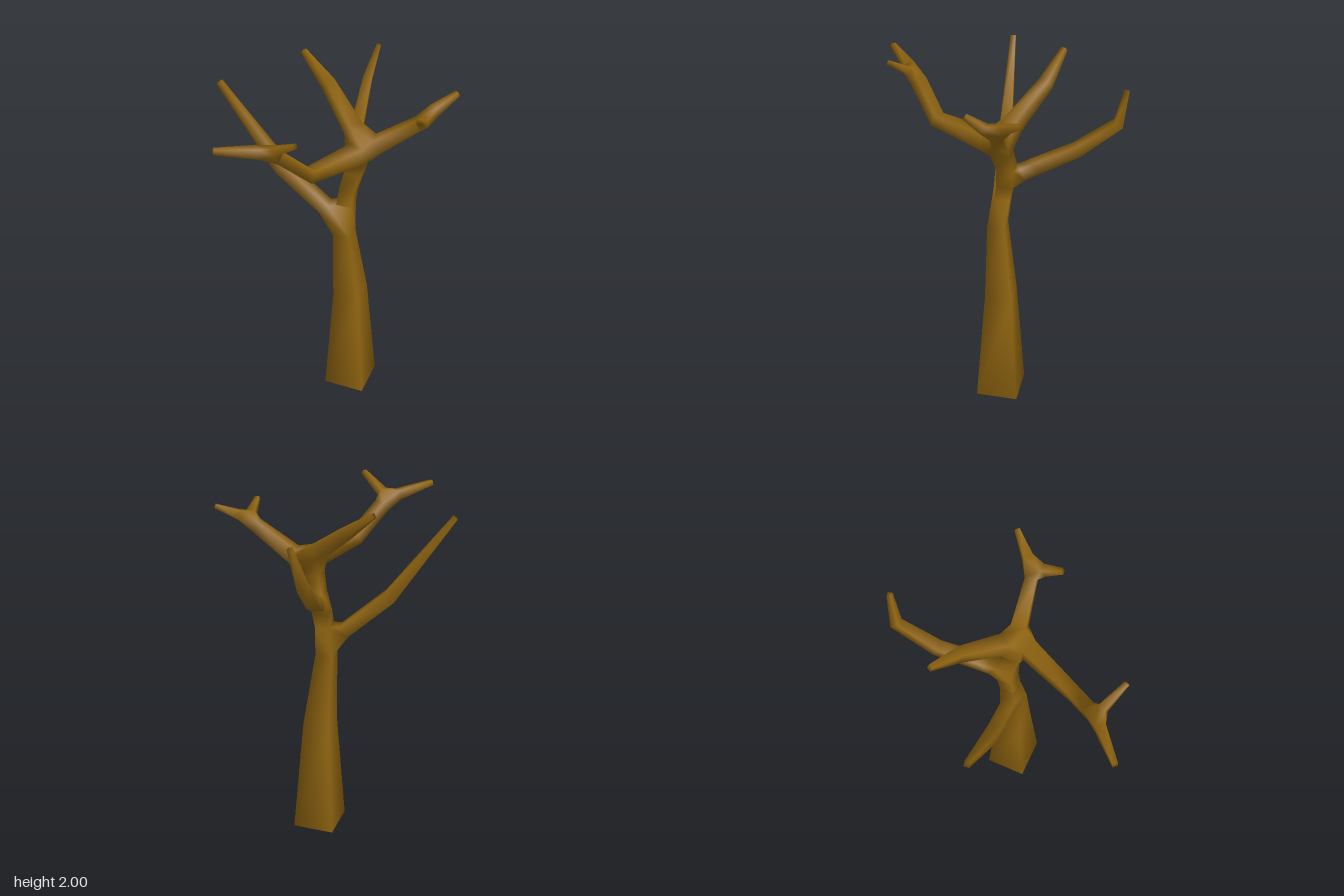
import * as THREE from 'three';
import { ConvexGeometry } from 'three/addons/geometries/ConvexGeometry.js';

const V = (x, y, z) => new THREE.Vector3(x, y, z);
const UP = V(0, 1, 0);
const key = (p) => `${Math.round(p.x * 1e4)},${Math.round(p.y * 1e4)},${Math.round(p.z * 1e4)}`;

// Square cross-sections along a path of [x, y, z, half width]
function makeRings(path, upright = false) {
  const pts = path.map(([x, y, z]) => V(x, y, z));
  let side = null;
  return path.map((p, i) => {
    const dir = V(0, 0, 0);
    if (upright) dir.copy(UP);
    else {
      if (i > 0) dir.add(pts[i].clone().sub(pts[i - 1]).normalize());
      if (i < pts.length - 1) dir.add(pts[i + 1].clone().sub(pts[i]).normalize());
      dir.normalize();
    }
    if (!side) side = upright ? V(1, 0, 0) : UP.clone().cross(dir).normalize();
    side = side.clone().addScaledVector(dir, -side.dot(dir)).normalize();
    const top = dir.clone().cross(side);
    return [[1, 1], [-1, 1], [-1, -1], [1, -1]].map(([a, b]) =>
      pts[i].clone().addScaledVector(side, a * p[3]).addScaledVector(top, b * p[3]));
  });
}

// Triangles of a limb lofted through its rings
function loft(rings, capStart, capEnd) {
  const tris = [];
  for (let k = 0; k < rings.length - 1; k++) {
    const [lo, hi] = [rings[k], rings[k + 1]];
    for (let i = 0; i < 4; i++) {
      const j = (i + 1) % 4;
      tris.push(lo[i], lo[j], hi[j], lo[i], hi[j], hi[i]);
    }
  }
  const s = rings[0], e = rings[rings.length - 1];
  if (capStart) tris.push(s[0], s[2], s[1], s[0], s[3], s[2]);
  if (capEnd) tris.push(e[0], e[1], e[2], e[0], e[2], e[3]);
  return tris;
}

// Joint: hull around the limb ends that meet, left open where each limb continues
function joint(rings) {
  const owner = new Map();
  rings.forEach((r, i) => r.forEach((p) => owner.set(key(p), i)));
  const pos = new ConvexGeometry(rings.flat()).attributes.position;
  const tris = [];
  for (let i = 0; i < pos.count; i += 3) {
    const t = [0, 1, 2].map((k) => V(0, 0, 0).fromBufferAttribute(pos, i + k));
    const o = t.map((p) => owner.get(key(p)));
    if (o[0] !== o[1] || o[1] !== o[2]) tris.push(...t);
  }
  return tris;
}

export function createModel() {
  const tree = new THREE.Group();
  tree.name = 'bareTree';
  const bark = new THREE.MeshStandardMaterial({ color: 0x8f6410 });

  // Trunk in three lengths, between the joints
  const trunk = makeRings([
    [0.118, 0, -0.0425, 0.118], [0.11, 0.67, -0.04, 0.075], [0.078, 1.09, -0.015, 0.048],
  ], true);
  const midTrunk = makeRings([[0.078, 1.265, -0.045, 0.041], [0.085, 1.345, -0.06, 0.043]], true);
  const upperTrunk = makeRings([[0.115, 1.465, -0.07, 0.046], [0.14, 1.56, -0.05, 0.05]], true);

  // Limbs
  const rightBranch = makeRings([
    [-0.03, 1.24, -0.008, 0.036], [-0.27, 1.455, 0.018, 0.035], [-0.595, 1.912, 0.045, 0.014],
  ]);
  const backBranch = makeRings([
    [0.078, 1.425, -0.145, 0.036], [0.06, 1.455, -0.21, 0.035], [0.005, 1.55, -0.42, 0.032],
    [-0.018, 1.71, -0.625, 0.025], [0.03, 1.912, -0.66, 0.012],
  ]);
  const leftBranch = makeRings([[0.245, 1.665, -0.065, 0.04], [0.44, 1.81, -0.09, 0.03]]);
  const leftBackTwig = makeRings([[0.51, 1.875, -0.145, 0.025], [0.595, 1.938, -0.24, 0.012]]);
  const leftFrontTwig = makeRings([[0.484, 1.855, -0.04, 0.023], [0.487, 1.912, 0.054, 0.012]]);
  const rearBranch = makeRings([
    [0.09, 1.705, -0.1, 0.04], [-0.1, 1.86, -0.23, 0.03], [-0.265, 1.99, -0.295, 0.013],
  ]);
  const frontBranch = makeRings([
    [0.15, 1.63, 0.03, 0.045], [0.02, 1.655, 0.325, 0.033], [-0.09, 1.81, 0.45, 0.032],
  ]);
  const frontRightTwig = makeRings([[-0.165, 1.862, 0.525, 0.026], [-0.322, 1.908, 0.66, 0.013]]);
  const frontLeftTwig = makeRings([[-0.075, 1.875, 0.502, 0.022], [0.05, 1.962, 0.562, 0.012]]);

  const first = (r) => r[0];
  const last = (r) => r[r.length - 1];
  const parts = {
    trunk: loft(trunk, true, false),
    midTrunk: loft(midTrunk),
    upperTrunk: loft(upperTrunk),
    rightBranch: loft(rightBranch, false, true),
    backBranch: loft(backBranch, false, true),
    leftBranch: loft(leftBranch),
    leftBackTwig: loft(leftBackTwig, false, true),
    leftFrontTwig: loft(leftFrontTwig, false, true),
    rearBranch: loft(rearBranch, false, true),
    frontBranch: loft(frontBranch),
    frontRightTwig: loft(frontRightTwig, false, true),
    frontLeftTwig: loft(frontLeftTwig, false, true),
    lowerJoint: joint([last(trunk), first(midTrunk), first(rightBranch)]),
    middleJoint: joint([last(midTrunk), first(upperTrunk), first(backBranch)]),
    crownJoint: joint([last(upperTrunk), first(leftBranch), first(rearBranch), first(frontBranch)]),
    leftFork: joint([last(leftBranch), first(leftBackTwig), first(leftFrontTwig)]),
    frontFork: joint([last(frontBranch), first(frontRightTwig), first(frontLeftTwig)]),
  };

  // Smooth normals shared across all parts, so the bark runs on without seams
  const normals = new Map();
  for (const tris of Object.values(parts)) {
    for (let i = 0; i < tris.length; i += 3) {
      const [a, b, c] = tris.slice(i, i + 3);
      const n = b.clone().sub(a).cross(c.clone().sub(a));
      for (const p of [a, b, c]) {
        if (!normals.has(key(p))) normals.set(key(p), V(0, 0, 0));
        normals.get(key(p)).add(n);
      }
    }
  }
  normals.forEach((n) => n.normalize());

  for (const [name, tris] of Object.entries(parts)) {
    const geo = new THREE.BufferGeometry().setFromPoints(tris);
    const flat = tris.flatMap((p) => normals.get(key(p)).toArray());
    geo.setAttribute('normal', new THREE.Float32BufferAttribute(flat, 3));
    const mesh = new THREE.Mesh(geo, bark);
    mesh.name = name;
    tree.add(mesh);
  }
  return tree;
}
